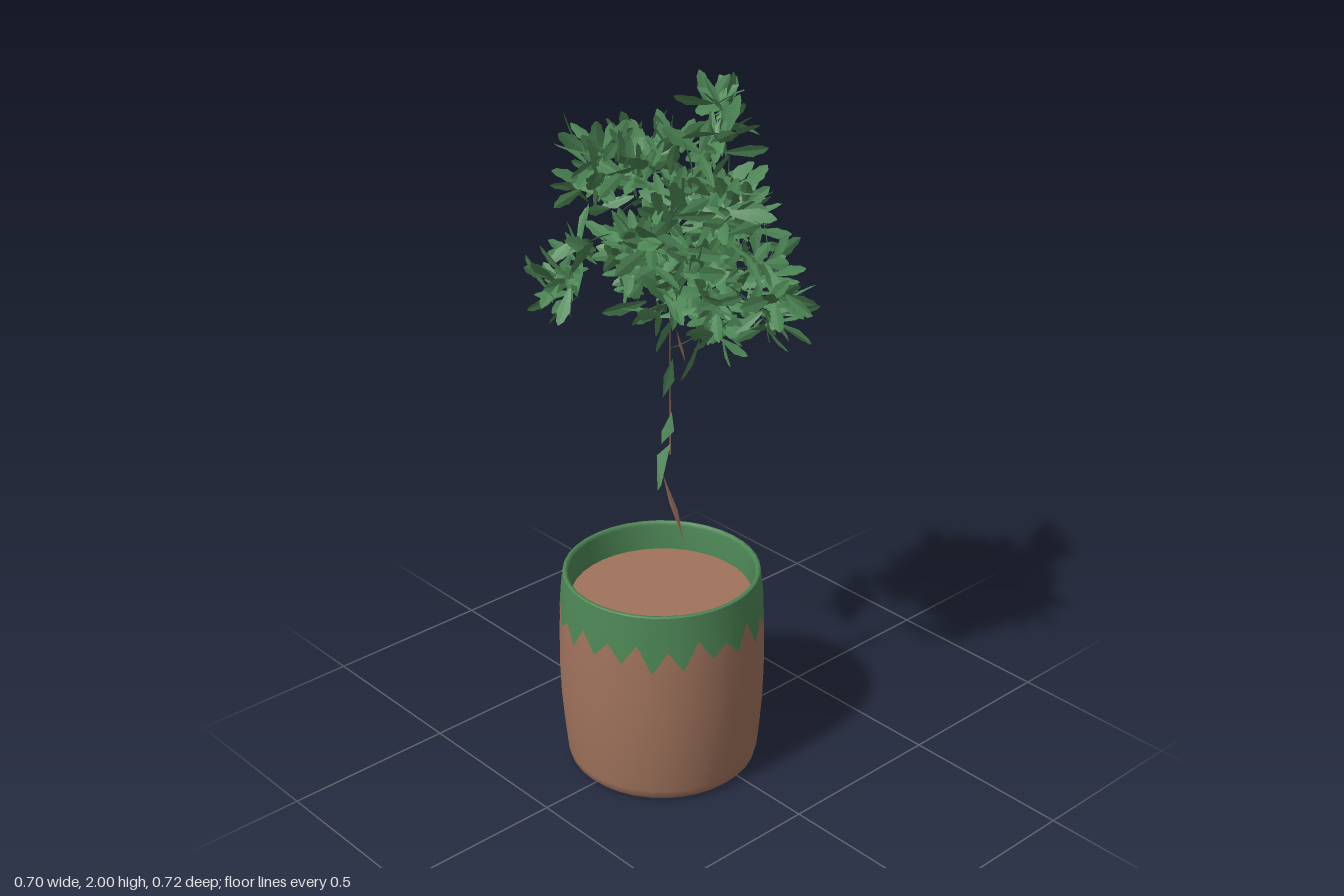
import * as THREE from 'three';
import { mergeGeometries } from 'three/addons/utils/BufferGeometryUtils.js';

const GREEN = 0x4d8655, BROWN = 0xa0735c;
const POT_X = -0.005, POT_Z = 0.058;

// small seeded random generator
function seeded(seed) {
  return () => {
    seed = (seed * 1664525 + 1013904223) % 4294967296;
    return seed / 4294967296;
  };
}
const rand = seeded(77);
const spread = (a) => (rand() * 2 - 1) * a;

function part(name, geometry, color, extra = {}) {
  const mesh = new THREE.Mesh(geometry, new THREE.MeshStandardMaterial({ color, ...extra }));
  mesh.name = name;
  return mesh;
}
const lathe = (points) => new THREE.LatheGeometry(points.map(([r, y]) => new THREE.Vector2(r, y)), 36);

function surface(pos, idx) {
  const g = new THREE.BufferGeometry();
  g.setAttribute('position', new THREE.Float32BufferAttribute(pos, 3));
  if (idx) g.setIndex(idx);
  g.computeVertexNormals();
  return g;
}

// green painted band with a zigzag lower edge, laid just over the pot wall
function zigzagBand(teeth) {
  const pos = [], idx = [], n = teeth * 2, rows = 3;
  for (let i = 0; i <= n; i++) {
    const a = (i / n) * Math.PI * 2;
    const low = i % 2 ? 0.445 + 0.015 * Math.sin(i * 2.3) : 0.51 + 0.015 * Math.sin(i * 1.7);
    for (const y of [low, 0.54, 0.602]) {
      const t = Math.max(0, (y - 0.42) / 0.188);
      const r = 0.2935 - 0.0155 * Math.pow(t, 1.5);
      pos.push(r * Math.sin(a), y, r * Math.cos(a));
    }
    if (i === n) continue;
    for (let k = 0; k < rows - 1; k++) {
      const p = i * rows + k, q = p + rows;
      idx.push(p, q, p + 1, q, q + 1, p + 1);
    }
  }
  return surface(pos, idx);
}

// jagged leaf with a shallow fold along the midrib, growing along +y
function leafGeometry() {
  const half = [[0.03, 0], [0.09, 0.2], [0.14, 0.45], [0.18, 0.62], [0.13, 0.74], [0.11, 0.88], [0.015, 1]];
  const rib = (y) => -0.1 * y * y;
  const pos = [];
  for (let i = 0; i < half.length - 1; i++) {
    const [w0, y0] = half[i], [w1, y1] = half[i + 1];
    for (const s of [-1, 1]) {
      const a = [0, y0, rib(y0)], b = [s * w0, y0, rib(y0) + w0 * 0.15];
      const c = [s * w1, y1, rib(y1) + w1 * 0.15], d = [0, y1, rib(y1)];
      const triangles = s > 0 ? [a, b, c, a, c, d] : [a, c, b, a, d, c];
      pos.push(...triangles.flat());
    }
  }
  return surface(pos);
}

// a rosette of leaves leaning away from the middle of the crown
function rosette(leaf, centre, count) {
  const middle = new THREE.Vector3(0, 1.5, 0.02);
  const out = centre.clone().sub(middle).normalize().multiplyScalar(0.5);
  const up = new THREE.Vector3(0, 1, 0);
  const leaves = [];
  for (let i = 0; i < count; i++) {
    const t = 1 - (2 * (i + 0.5)) / count, a = i * 2.4 + spread(0.4), s = Math.sqrt(1 - t * t);
    const dir = new THREE.Vector3(s * Math.cos(a), t + 0.15, s * Math.sin(a)).add(out).normalize();
    const q = new THREE.Quaternion().setFromUnitVectors(up, dir);
    q.multiply(new THREE.Quaternion().setFromAxisAngle(up, rand() * Math.PI * 2));
    const len = 0.085 + rand() * 0.04;
    const base = centre.clone().addScaledVector(out, -0.05)
      .add(new THREE.Vector3(spread(0.035), spread(0.04), spread(0.035)));
    // keep every leaf tip below the full height
    base.y = Math.min(base.y, 1.995 - len * Math.max(dir.y, 0));
    leaves.push(leaf.clone().applyMatrix4(
      new THREE.Matrix4().compose(base, q, new THREE.Vector3(len, len, len))));
  }
  return mergeGeometries(leaves);
}

// thin flat sliver given by its corners
function sliver(corners) {
  const pos = [];
  for (let i = 1; i < corners.length - 1; i++) pos.push(...corners[0], ...corners[i], ...corners[i + 1]);
  return surface(pos);
}

export function createModel() {
  const model = new THREE.Group();
  model.name = 'pottedTree';
  const both = { side: THREE.DoubleSide };

  // pot
  const pot = new THREE.Group();
  pot.name = 'pot';
  pot.position.set(POT_X, 0, POT_Z);
  pot.add(part('potWall', lathe([[0.258, 0], [0.27, 0.012], [0.276, 0.035], [0.284, 0.12],
    [0.29, 0.2], [0.293, 0.3], [0.291, 0.42], [0.286, 0.52], [0.275, 0.597]]), BROWN));
  const bottom = part('potBottom', new THREE.CircleGeometry(0.26, 36), BROWN);
  bottom.rotation.x = Math.PI / 2;
  pot.add(bottom);
  pot.add(part('paintedBand', zigzagBand(21), GREEN, both));
  pot.add(part('rim', lathe([[0.278, 0.601], [0.274, 0.605], [0.268, 0.604], [0.262, 0.595],
    [0.256, 0.51]]), GREEN, both));
  const soil = part('soil', new THREE.CircleGeometry(0.26, 36), BROWN);
  soil.rotation.x = -Math.PI / 2;
  soil.position.y = 0.52;
  pot.add(soil);
  model.add(pot);

  // trunk slivers and thin upper stem
  const trunk = new THREE.Group();
  trunk.name = 'trunk';
  trunk.add(part('trunkBase', sliver([[0.04, 0.69, 0.015], [0.005, 0.77, 0.005],
    [-0.03, 0.88, 0.03], [0.0, 0.8, 0.032]]), BROWN, both));
  const shards = [
    [[-0.02, 0.95, 0.06], [0.01, 0.99, 0.035], [0.02, 0.88, 0.08], [0.01, 0.86, 0.085]],
    [[0.01, 1.0, 0.07], [0.035, 1.04, 0.045], [0.02, 1.09, 0.04], [0.0, 1.03, 0.06]],
    [[0.0, 1.13, 0.055], [0.02, 1.18, 0.03], [0.025, 1.25, 0.04], [0.01, 1.2, 0.06]],
  ];
  trunk.add(part('trunkSlivers', mergeGeometries(shards.map(sliver)), GREEN, both));
  const stem = part('stem', new THREE.CylinderGeometry(0.0015, 0.002, 0.5, 5), BROWN);
  stem.position.set(0, 1.2, 0.028);
  trunk.add(stem);
  trunk.add(part('stemBark', sliver([[0.02, 1.22, -0.01], [0.008, 1.25, -0.015], [0.0, 1.32, 0.005],
    [0.012, 1.27, 0.005]]), BROWN, both));
  model.add(trunk);

  // leaf rosettes: x, y, z, number of leaves
  const clusters = [
    [0.02, 1.91, -0.14, 20], [0.07, 1.85, -0.07, 18], [-0.15, 1.81, 0.15, 20], [-0.15, 1.79, 0.03, 20],
    [0.22, 1.7, 0.03, 14], [-0.04, 1.79, 0.09, 20], [0.07, 1.76, 0.05, 20], [-0.22, 1.67, -0.05, 22],
    [0.1, 1.64, 0.21, 22], [0.18, 1.6, 0.14, 22], [-0.18, 1.46, 0.27, 24], [0.14, 1.48, 0.18, 22],
    [0.19, 1.47, 0.06, 20], [0.2, 1.37, -0.16, 24], [0.13, 1.46, -0.21, 24], [-0.02, 1.52, -0.27, 24],
    [-0.12, 1.55, -0.22, 24], [0.05, 1.6, -0.16, 20], [-0.18, 1.5, -0.05, 22], [-0.14, 1.42, 0.05, 18],
    [-0.06, 1.23, -0.19, 24], [0.07, 1.46, -0.09, 20], [-0.1, 1.53, 0.1, 20], [0.1, 1.56, 0.05, 20],
    [-0.08, 1.68, -0.1, 20], [0.1, 1.7, -0.12, 18], [0.25, 1.42, -0.13, 14], [-0.17, 1.71, 0.17, 18],
    [0.04, 1.53, 0.12, 18], [-0.03, 1.46, -0.16, 18], [0.14, 1.75, -0.02, 14], [0.0, 1.64, 0.02, 18],
    [-0.09, 1.78, -0.06, 14], [0.08, 1.4, -0.18, 16], [0.13, 1.72, 0.13, 14], [-0.2, 1.53, 0.2, 12],
  ];
  const leaf = leafGeometry();
  const foliage = mergeGeometries(clusters.map(([x, y, z, n]) => rosette(leaf, new THREE.Vector3(x, y, z), n)));
  model.add(part('foliage', foliage, GREEN, { ...both, flatShading: true }));

  return model;
}
